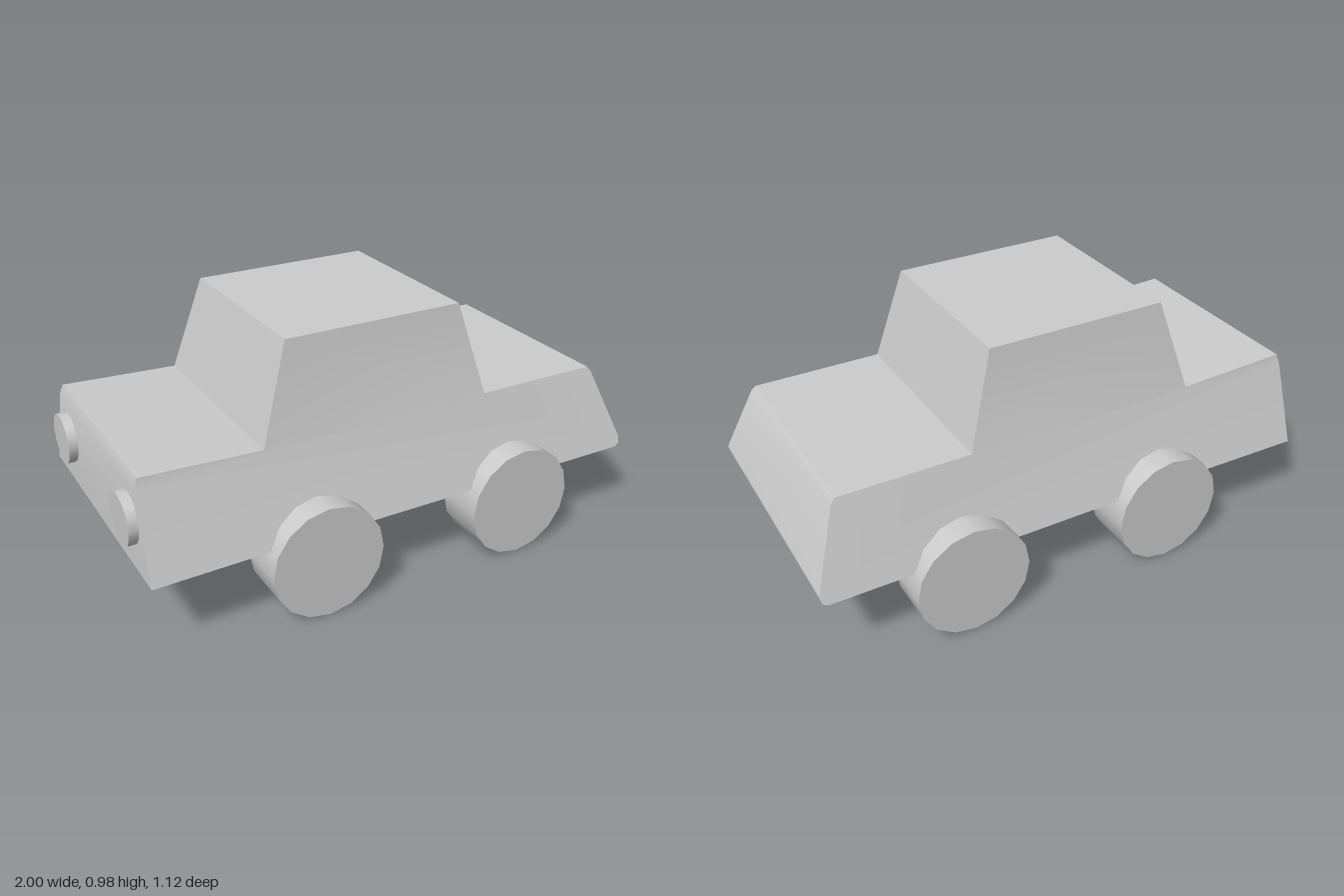
import * as THREE from 'three';
import { toCreasedNormals } from 'three/addons/utils/BufferGeometryUtils.js';

const material = new THREE.MeshStandardMaterial({ color: 0xcccccc });
const shellMaterial = new THREE.MeshStandardMaterial({ color: 0xcccccc, side: THREE.DoubleSide });

// Side outlines (x, y), counter-clockwise; the floor is open between the axles
const lower = [
  [0.39, 0.295], [0.975, 0.295], [0.995, 0.305], [1, 0.33], [0.9, 0.6], [0.885, 0.62],
  [0.39, 0.62], [-0.51, 0.62], [-0.95, 0.638], [-0.963, 0.6], [-0.97, 0.29], [-0.51, 0.295],
];
const cabin = [[0.39, 0.62], [0.29, 0.975], [-0.4, 0.975], [-0.51, 0.62]];

// Half width of the body at a height: sloping flanks, then a slimmer cabin
const lowerWidth = y => THREE.MathUtils.mapLinear(Math.min(y, 0.62), 0.295, 0.62, 0.51, 0.4);
const cabinWidth = y => THREE.MathUtils.mapLinear(y, 0.62, 0.975, 0.4, 0.35);

// Adds both sides of an outline, and the strips that cross between them
function addSection(out, outline, width, openEdges) {
  const point = (i, side) => {
    const [x, y] = outline[i % outline.length];
    return [x, y, side * width(y)];
  };
  const contour = outline.map(([x, y]) => new THREE.Vector2(x, y));
  for (const [a, b, c] of THREE.ShapeUtils.triangulateShape(contour, [])) {
    out.push(...point(a, 1), ...point(b, 1), ...point(c, 1));
    out.push(...point(a, -1), ...point(c, -1), ...point(b, -1));
  }
  outline.forEach((_, i) => {
    if (openEdges.includes(i)) return;
    const a = point(i, 1), b = point(i, -1), c = point(i + 1, -1), d = point(i + 1, 1);
    out.push(...a, ...b, ...c, ...a, ...c, ...d);
  });
}

function createShell() {
  const positions = [];
  addSection(positions, lower, lowerWidth, [6, 11]); // open under the cabin and in the floor
  addSection(positions, cabin, cabinWidth, [3]);
  const geometry = new THREE.BufferGeometry();
  geometry.setAttribute('position', new THREE.Float32BufferAttribute(positions, 3));
  return toCreasedNormals(geometry, 0.5);
}

export function createModel() {
  const car = new THREE.Group();
  car.name = 'car';

  function add(name, geometry, mat, x = 0, y = 0, z = 0) {
    const mesh = new THREE.Mesh(geometry, mat);
    mesh.name = name;
    mesh.position.set(x, y, z);
    car.add(mesh);
  }

  // Hollow body with cabin
  add('body', createShell(), shellMaterial);

  // Wheels, in two mirrored pairs
  const wheel = new THREE.CylinderGeometry(0.215, 0.215, 0.193, 16).rotateX(Math.PI / 2);
  for (const [name, x] of [['frontWheel', -0.35], ['rearWheel', 0.47]]) {
    for (const side of [1, -1]) add(name, wheel, material, x, 0.215, side * 0.4635);
  }

  // Headlights on the nose
  const lamp = new THREE.CylinderGeometry(0.095, 0.095, 0.04, 16).rotateZ(Math.PI / 2);
  for (const z of [0.33, -0.31]) add('headlight', lamp, material, -0.98, 0.466, z);

  return car;
}
